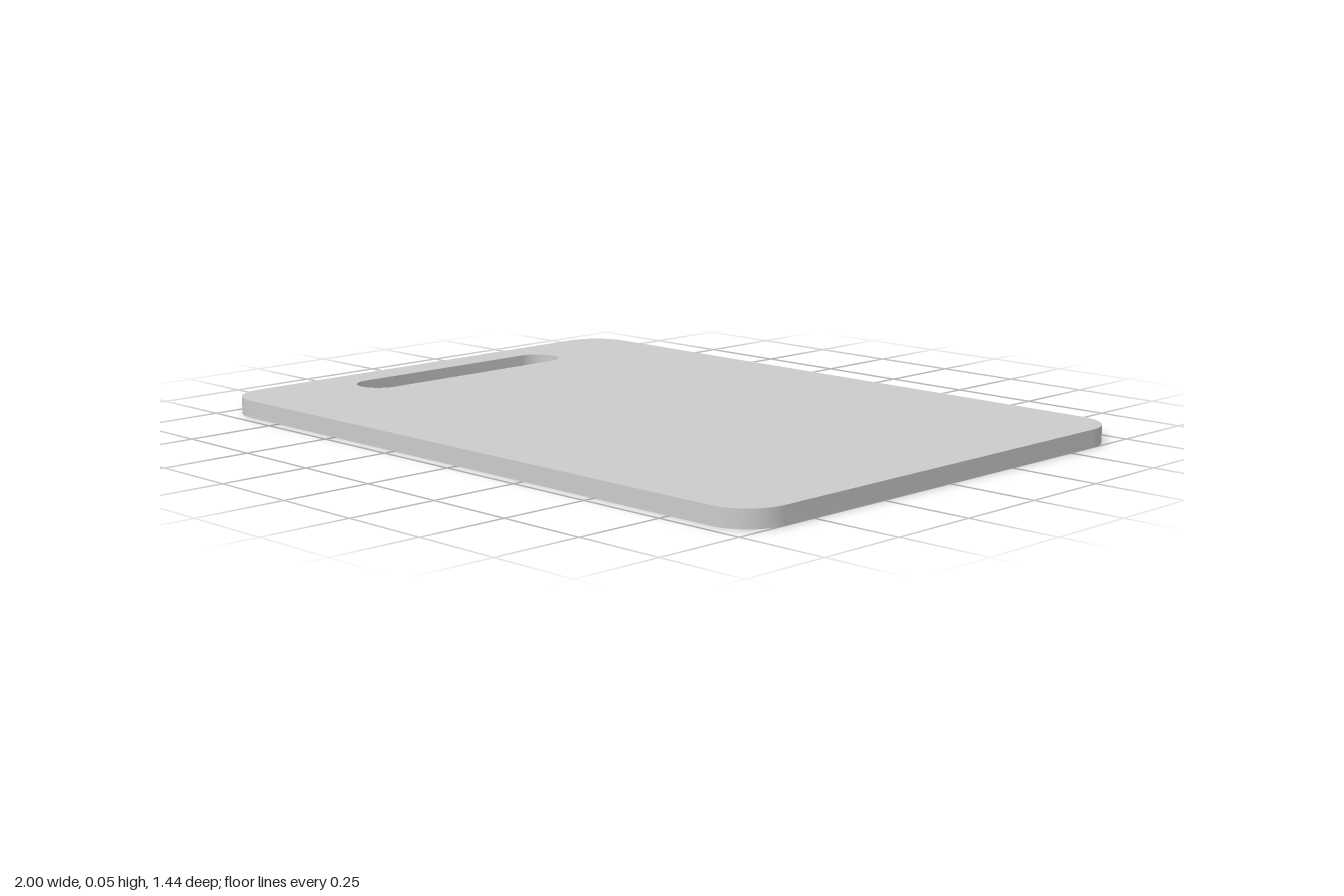
import * as THREE from 'three';
import { toCreasedNormals } from 'three/addons/utils/BufferGeometryUtils.js';

// Traces a rounded rectangle centred on (cx, cy)
function roundedRect(path, cx, cy, width, height, r) {
  const x = width / 2 - r, y = height / 2 - r;
  path.moveTo(cx + x + r, cy - y);
  [[x, y], [-x, y], [-x, -y], [x, -y]].forEach(([dx, dy], i) => {
    path.absarc(cx + dx, cy + dy, r, i * Math.PI / 2, (i + 1) * Math.PI / 2, false);
  });
  path.closePath();
  return path;
}

export function createModel() {
  const group = new THREE.Group();
  group.name = 'cuttingBoard';

  // Flat board with rounded corners
  const outline = roundedRect(new THREE.Shape(), 0, 0, 2, 1.438, 0.12);

  // Handle slot with fully round ends
  outline.holes.push(roundedRect(new THREE.Path(), -0.83, 0, 0.134, 0.736, 0.0665));

  const extruded = new THREE.ExtrudeGeometry(outline, { depth: 0.048, bevelEnabled: false, curveSegments: 16 });
  extruded.rotateX(-Math.PI / 2);

  const board = new THREE.Mesh(
    toCreasedNormals(extruded, Math.PI / 6),
    new THREE.MeshStandardMaterial({ color: 0xcccccc })
  );
  board.name = 'board';
  group.add(board);
  return group;
}
